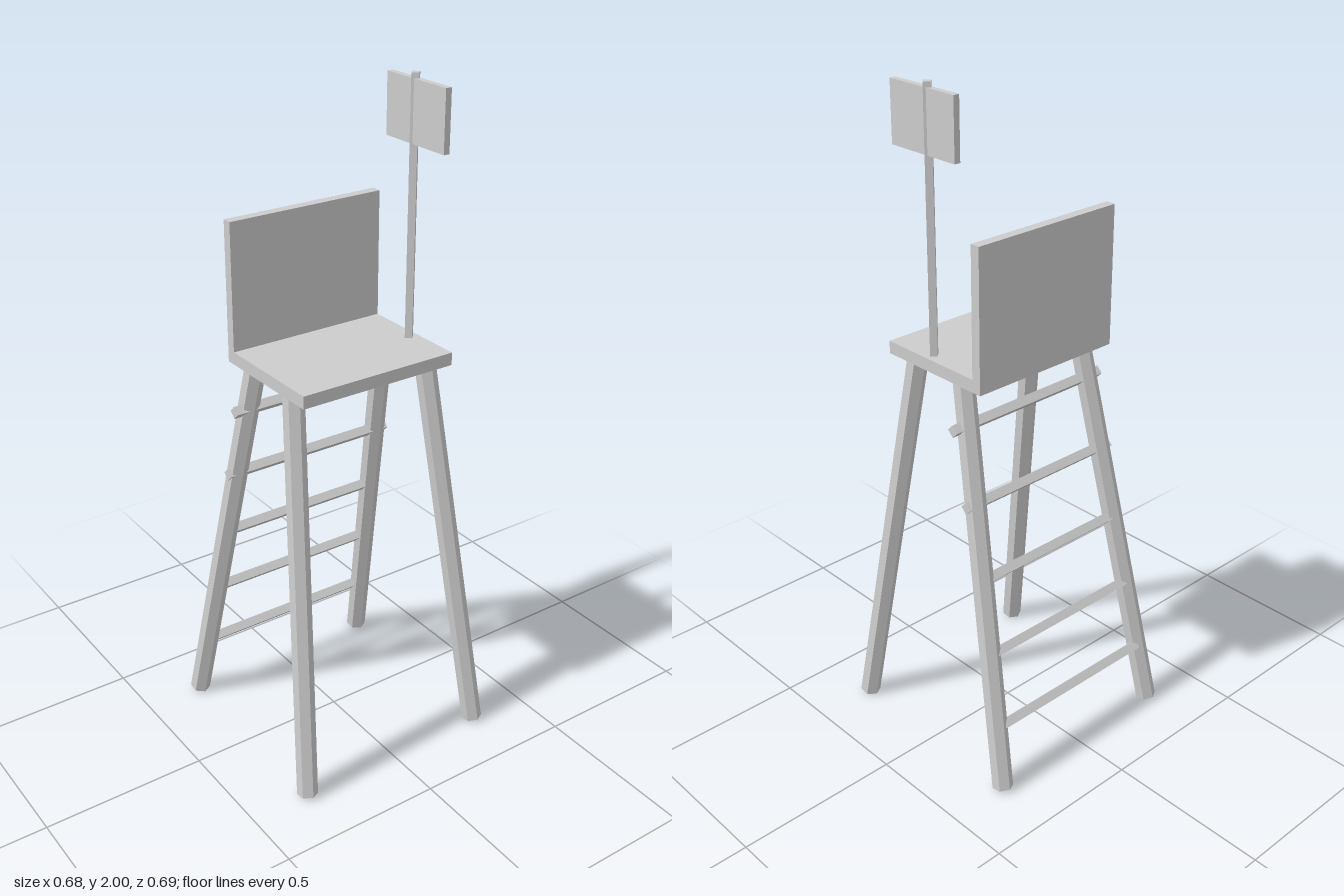
import * as THREE from 'three';

export function createModel() {
  const model = new THREE.Group();
  const gray = new THREE.MeshStandardMaterial({ color: 0xcccccc, flatShading: true });
  gray.name = 'light gray';

  const add = (name, geometry, x, y, z) => {
    const mesh = new THREE.Mesh(geometry, gray);
    mesh.name = name;
    mesh.position.set(x, y, z);
    model.add(mesh);
    return mesh;
  };

  // Straight bar with a given number of sides between two points
  const bar = (name, from, to, radius, sides) => {
    const dir = to.clone().sub(from);
    const mid = from.clone().add(to).multiplyScalar(0.5);
    const mesh = add(name, new THREE.CylinderGeometry(radius, radius, dir.length(), sides), mid.x, mid.y, mid.z);
    mesh.quaternion.setFromUnitVectors(new THREE.Vector3(0, 1, 0), dir.normalize());
    return mesh;
  };
  const v = (x, y, z) => new THREE.Vector3(x, y, z);

  // Seat and backrest
  add('seat', new THREE.BoxGeometry(0.5, 0.038, 0.38), 0, 1.226, 0.03);
  add('backrest', new THREE.BoxGeometry(0.5, 0.38, 0.03), 0, 1.435, -0.145);

  // Four splayed six-sided legs
  for (const side of [-1, 1]) {
    const s = side < 0 ? 'right' : 'left';
    bar(s + 'FrontLeg', v(side * 0.313, 0.006, 0.314), v(side * 0.222, 1.215, 0.129), 0.031, 6);
    bar(s + 'BackLeg', v(side * 0.313, 0.006, -0.314), v(side * 0.222, 1.215, -0.063), 0.031, 6);
  }

  // Ladder rungs, square bars set on edge, climbing the back legs
  for (let i = 0; i < 5; i++) {
    const y = 0.2 + i * 0.221, z = -0.284 + i * 0.05;
    bar('rung' + (i + 1), v(-0.283, y, z), v(0.283, y, z), 0.019, 4);
  }

  // Pole with a flat sign board
  bar('pole', v(0.22, 1.24, 0.061), v(0.22, 2, 0.061), 0.015, 4);
  add('signBoard', new THREE.BoxGeometry(0.019, 0.175, 0.25), 0.22, 1.897, 0.075);

  return model;
}
